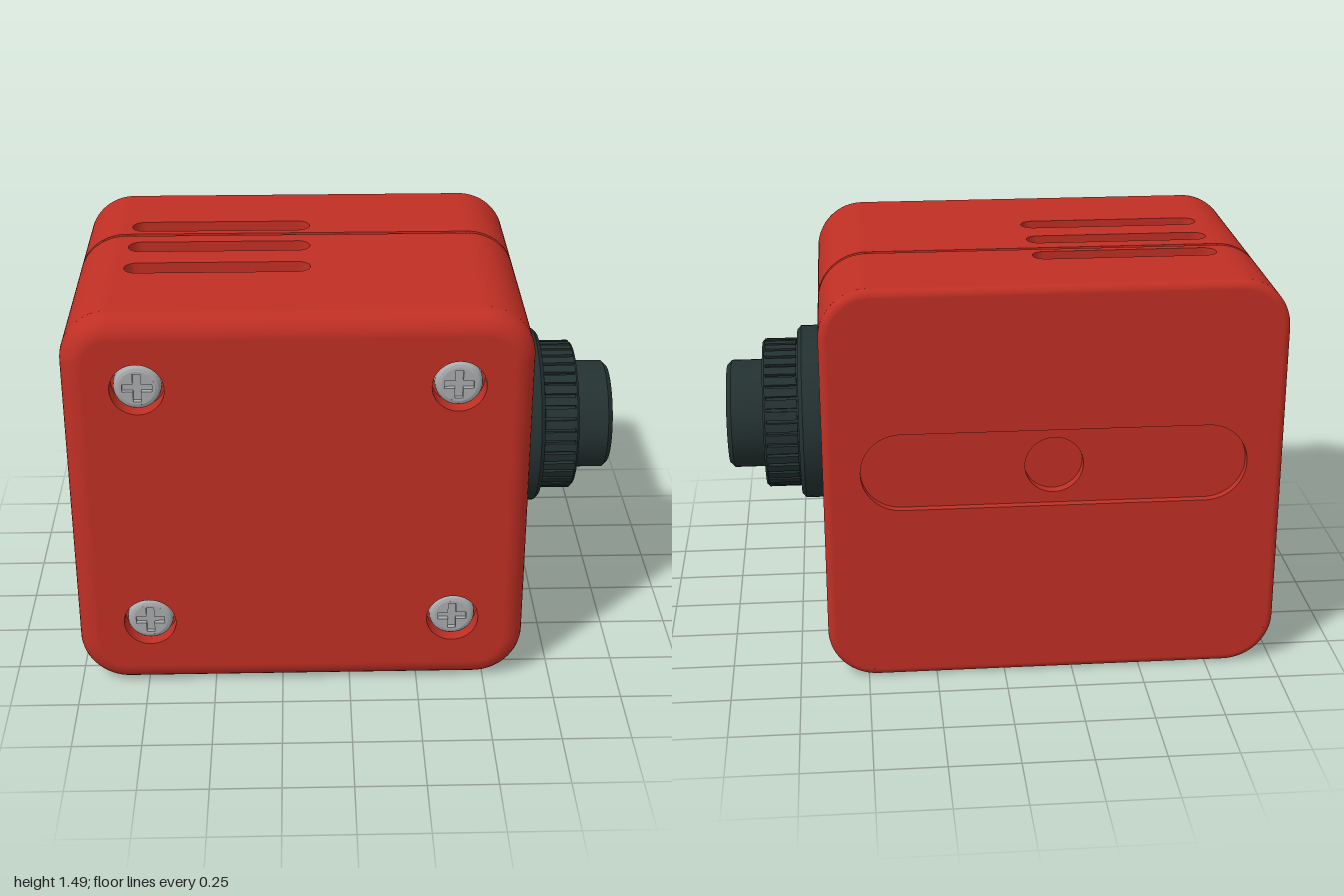
import * as THREE from 'three';
import { toCreasedNormals } from 'three/addons/utils/BufferGeometryUtils.js';

const mat = (name, color) => new THREE.MeshStandardMaterial({ name, color });
const red = mat('red housing', 0xbf2f24);
const dark = mat('dark lens', 0x243131);
const steel = mat('steel', 0xa8aaac);
const gold = mat('amber', 0xd39a22);

// Housing: half width, height, half depth, corner radius, wall thickness
const HW = 0.8225, H = 1.485, HD = 0.62, R = 0.18, T = 0.07;
const FRONT = 0.54, BACK = -0.59, GAP0 = -0.175, GAP1 = -0.155;
const LENS_Y = 0.807, LENS_U = -0.018;

function add(parent, name, geometry, material) {
  const m = new THREE.Mesh(geometry, material);
  m.name = name;
  parent.add(m);
  return m;
}

// Rounded rectangle from its centre; works as outline or hole
function roundRect(cx, cy, w, h, r, Type = THREE.Shape) {
  const s = new Type(), x = w / 2 - r, y = h / 2 - r, q = Math.PI / 2;
  s.moveTo(cx + x, cy - y - r);
  s.absarc(cx + x, cy - y, r, -q, 0, false);
  s.absarc(cx + x, cy + y, r, 0, q, false);
  s.absarc(cx - x, cy + y, r, q, 2 * q, false);
  s.absarc(cx - x, cy - y, r, 2 * q, 3 * q, false);
  s.closePath();
  return s;
}
const hole = (cx, cy, w, h, r) => roundRect(cx, cy, w, h, r, THREE.Path);
function circle(cx, cy, r, Type = THREE.Path) {
  const p = new Type();
  p.absarc(cx, cy, r, 0, Math.PI * 2, false);
  return p;
}
const rect = (x0, y0, x1, y1) => new THREE.Shape([[x0, y0], [x1, y0], [x1, y1], [x0, y1]].map(p => new THREE.Vector2(...p)));

// Extruded plate between z0 and z1, with holes
function plate(shape, z0, z1, holes = []) {
  shape.holes.push(...holes);
  const g = new THREE.ExtrudeGeometry(shape, { depth: z1 - z0, bevelEnabled: false, curveSegments: 20 });
  g.translate(0, 0, z0);
  return toCreasedNormals(g, 0.5);
}

// Rounded edge strip running round the housing from its side to its end face
function edgeBevel(b, z0) {
  const n = 16, steps = 8, pos = [], nor = [], idx = [], ring = 4 * (n + 1);
  for (let j = 0; j <= steps; j++) {
    const f = (j / steps) * Math.PI / 2, rad = R - b + b * Math.cos(f);
    for (let c = 0; c < 4; c++) for (let i = 0; i <= n; i++) {
      const a = (c + i / n) * Math.PI / 2, dx = Math.cos(a), dy = Math.sin(a);
      const cx = (c === 0 || c === 3 ? 1 : -1) * (HW - R), cy = c < 2 ? H - R : R;
      pos.push(cx + dx * rad, cy + dy * rad, z0 + b * Math.sin(f));
      nor.push(dx * Math.cos(f), dy * Math.cos(f), Math.sin(f));
    }
  }
  for (let j = 0; j < steps; j++) for (let i = 0; i < ring; i++) {
    const a = j * ring + i, d = j * ring + (i + 1) % ring;
    idx.push(a, d, d + ring, a, d + ring, a + ring);
  }
  const g = new THREE.BufferGeometry();
  g.setAttribute('position', new THREE.Float32BufferAttribute(pos, 3));
  g.setAttribute('normal', new THREE.Float32BufferAttribute(nor, 3));
  g.setIndex(idx);
  return g;
}

// Solid of revolution about z from [radius, z] points
function turned(points, segments = 64) {
  const g = new THREE.LatheGeometry(points.map(p => new THREE.Vector2(...p)), segments);
  g.rotateX(Math.PI / 2);
  return toCreasedNormals(g, 0.5);
}

// Cross-head screw whose base lies on z
function screw(parent, x, y, z, r, h) {
  const s = new THREE.Group();
  s.name = 'screw';
  s.position.set(x, y, z);
  const a = r * 0.62, b = r * 0.17;
  const cross = new THREE.Path([[b, b], [a, b], [a, -b], [b, -b], [b, -a], [-b, -a], [-b, -b], [-a, -b], [-a, b], [-b, b], [-b, a], [b, a]]
    .map(p => new THREE.Vector2(...p)));
  add(s, 'screwFace', plate(circle(0, 0, r * 0.75, THREE.Shape), h - 0.02, h, [cross]), steel);
  add(s, 'screwRim', turned([[r, 0], [r, h - 0.025], [r * 0.97, h - 0.013], [r * 0.88, h - 0.004], [r * 0.75, h]], 32), steel);
  add(s, 'screwSlotFloor', plate(circle(0, 0, r * 0.8, THREE.Shape), 0, h - 0.018), steel);
  parent.add(s);
}

// One half of the side wall around the recess, u running to the end of the housing
function recessWall(gap, end, edge) {
  const d = Math.sign(end - gap), r = 0.14, lo = 0.19, hi = 1.3, q = Math.PI / 2, s = new THREE.Shape();
  s.moveTo(gap, R);
  s.lineTo(end, R);
  s.lineTo(end, H - R);
  s.lineTo(gap, H - R);
  s.lineTo(gap, hi);
  const mid = d > 0 ? 0 : Math.PI;
  s.absarc(edge - d * r, hi - r, r, q, mid, d > 0);
  s.absarc(edge - d * r, lo + r, r, mid, d > 0 ? -q : 3 * q, d > 0);
  s.lineTo(gap, lo);
  s.closePath();
  return s;
}

export function createModel() {
  const model = new THREE.Group();
  model.name = 'camera';
  const body = new THREE.Group();
  body.name = 'housing';
  body.position.x = -0.1775;
  model.add(body);
  const side = (name, rx, ry) => {
    const g = new THREE.Group();
    g.name = name;
    g.rotation.set(rx, ry, 0);
    body.add(g);
    return g;
  };

  // Inner core, seen as the floor of every opening
  const core = add(body, 'core', new THREE.BoxGeometry(2 * (HW - T), H - 2 * T, 2 * (HD - T)), red);
  core.position.y = H / 2;

  // Rounded long edges, in two lengths with the seam between
  for (let c = 0; c < 4; c++) {
    const cx = (c === 0 || c === 3 ? 1 : -1) * (HW - R), cy = c < 2 ? H - R : R;
    for (const [z0, z1] of [[BACK, GAP0], [GAP1, FRONT]]) {
      const s = new THREE.Shape();
      s.moveTo(cx, cy);
      s.absarc(cx, cy, R, c * Math.PI / 2, (c + 1) * Math.PI / 2, false);
      s.closePath();
      add(body, 'cornerEdge', plate(s, z0, z1), red);
    }
  }

  // Seam floor, notched where the side recess crosses it
  const x = HW - 0.02, r = R - 0.02, q = Math.PI / 2, seam = new THREE.Shape();
  seam.moveTo(0.75, 0.19);
  seam.lineTo(0.75, 1.3);
  seam.lineTo(x, 1.3);
  seam.absarc(HW - R, H - R, r, 0, q, false);
  seam.absarc(R - HW, H - R, r, q, 2 * q, false);
  seam.absarc(R - HW, R, r, 2 * q, 3 * q, false);
  seam.absarc(HW - R, R, r, 3 * q, 4 * q, false);
  seam.lineTo(x, 0.19);
  seam.closePath();
  add(body, 'seamFloor', plate(seam, GAP0 - 0.005, GAP1 + 0.005), red);

  // Front face with four sunken screws
  const front = side('frontFace', 0, 0);
  const spots = [-0.556, 0.556].flatMap(sx => [0.272, 1.22].map(sy => [sx, sy]));
  add(front, 'frontBevel', edgeBevel(0.08, FRONT), red);
  add(front, 'frontPlate', plate(roundRect(0, H / 2, 2 * HW - 0.16, H - 0.16, R - 0.08), HD - T, HD,
    spots.map(p => circle(...p, 0.095))), red);
  spots.forEach(p => screw(front, ...p, HD - T, 0.084, 0.055));

  // Back face with a shallow channel and a round socket
  const back = side('backFace', 0, Math.PI);
  const backShape = () => roundRect(0, H / 2, 2 * HW - 0.06, H - 0.06, R - 0.03);
  add(back, 'backBevel', edgeBevel(0.03, -BACK), red);
  add(back, 'backPlate', plate(backShape(), HD - 0.03, HD, [hole(0, 0.81, 1.38, 0.29, 0.144)]), red);
  add(back, 'channelFloor', plate(backShape(), HD - T, HD - 0.03, [circle(0, 0.81, 0.105)]), red);

  // Top and bottom walls with vent slots
  for (const [name, rx, s, level] of [['topWall', -q, -1, H], ['bottomWall', q, 1, 0]]) {
    const wall = side(name, rx, 0);
    const vent = z => hole(-0.2875, s * z, 0.67, 0.094, 0.046);
    const strip = (z0, z1) => rect(R - HW, Math.min(s * z0, s * z1), HW - R, Math.max(s * z0, s * z1));
    add(wall, 'ventWallBack', plate(strip(BACK, GAP0), level - T, level, [vent(-0.252)]), red);
    add(wall, 'ventWallFront', plate(strip(GAP1, FRONT), level - T, level, [vent(-0.045), vent(0.161)]), red);
  }

  // Plain side with the port slot and pinhole
  const port = side('portSide', 0, -q);
  add(port, 'portWallFront', plate(rect(GAP1, R, FRONT, H - R), HW - T, HW), red);
  add(port, 'portWallBack', plate(rect(BACK, R, GAP0, H - R), HW - T, HW,
    [hole(-0.29, 0.8, 0.14, 0.4, 0.069), circle(-0.29, 1.19, 0.03)]), red);

  // Lens side with its recessed mounting panel
  const mount = side('lensSide', 0, q);
  add(mount, 'lensWallFront', plate(recessWall(-GAP1, -FRONT, -0.455), HW - T, HW), red);
  add(mount, 'lensWallBack', plate(recessWall(-GAP0, -BACK, 0.41), HW - T, HW), red);
  const floor = HW - 0.045, base = HW - T;
  add(mount, 'mountPanel', plate(rect(-0.5, 0.12, 0.45, 1.36), base, floor, [
    circle(LENS_U, LENS_Y, 0.348), circle(-0.02, 0.355, 0.084), circle(-0.02, 1.26, 0.084),
    hole(-0.313, 0.332, 0.14, 0.15, 0.005)]), red);
  for (const y of [0.355, 1.26]) screw(mount, -0.02, y, base, 0.075, 0.058);
  add(mount, 'indicator', plate(roundRect(-0.313, 0.332, 0.128, 0.136, 0.022), base, HW + 0.005), gold);

  // Lens: flange, ribbed focus ring, barrel
  const lens = new THREE.Group();
  lens.name = 'lens';
  lens.position.set(LENS_U, LENS_Y, HW - 0.645);
  mount.add(lens);
  add(lens, 'flange', turned([[0.33, 0.575], [0.33, 0.715], [0.315, 0.73], [0, 0.73]]), dark);
  add(lens, 'focusRing', turned([[0.27, 0.72], [0.27, 0.848], [0.28, 0.849], [0.28, 0.855], [0.274, 0.862], [0, 0.862]]), dark);
  for (let i = 0; i < 40; i++) {
    const a = (i / 40) * Math.PI * 2;
    const rib = add(lens, 'rib', new THREE.BoxGeometry(0.03, 0.032, 0.118), dark);
    rib.position.set(Math.cos(a) * 0.268, Math.sin(a) * 0.268, 0.794);
    rib.rotation.z = a;
  }
  add(lens, 'barrel', turned([[0.205, 0.85], [0.205, 0.982], [0.187, 1], [0.152, 1], [0.152, 0.985], [0, 0.985]]), dark);
  return model;
}
